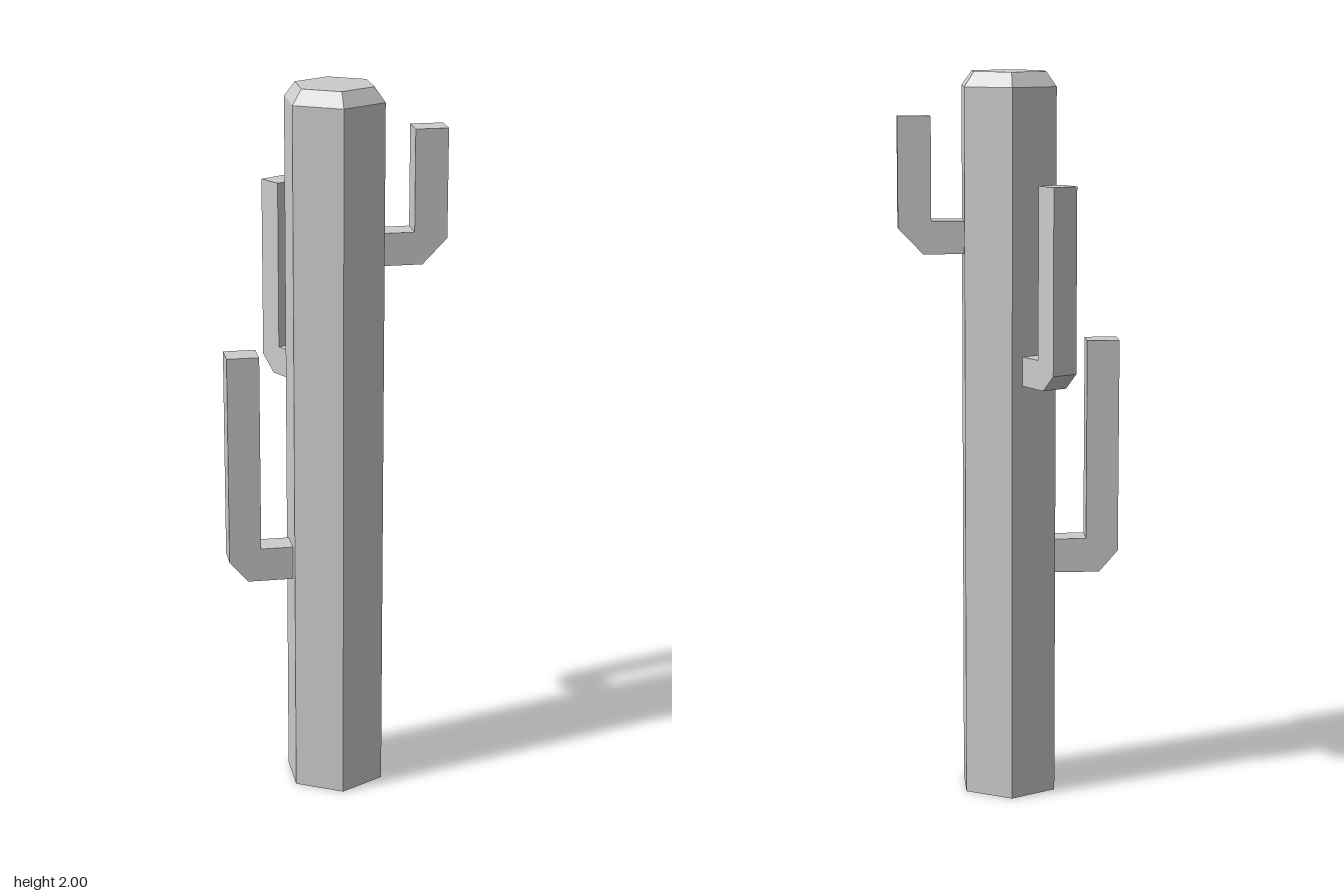
import * as THREE from 'three';

export function createModel() {
  const model = new THREE.Group();
  model.name = 'cactus';
  const material = new THREE.MeshStandardMaterial({ color: 0xcccccc, flatShading: true });

  const add = (name, geometry) => {
    const mesh = new THREE.Mesh(geometry, material);
    mesh.name = name;
    model.add(mesh);
    return mesh;
  };

  // Six-sided trunk with a bevelled top, corners pointing along x
  const hexagon = (top, bottom, height, open) =>
    new THREE.CylinderGeometry(top, bottom, height, 6, 1, open, Math.PI / 6);
  const trunkHeight = 1.96;
  const profile = [[0, 0], [0.143, 0], [0.143, trunkHeight], [0.112, 2], [0, 2]]
    .map(([r, y]) => new THREE.Vector2(r, y));
  add('trunk', new THREE.LatheGeometry(profile, 6, Math.PI / 6));

  // L-shaped arm: a stub leaving the trunk, a cut outer corner and an upright
  const width = 0.075;
  const addArm = (name, degrees, { bottom, shelf, top, inner, outer, cutX, cutY }) => {
    const root = 0.115; // just inside the trunk face
    const outline = [
      [root, bottom], [outer - cutX, bottom], [outer, bottom + cutY],
      [outer, top], [inner, top], [inner, shelf], [root, shelf],
    ].map(([r, y]) => new THREE.Vector2(r, y));
    const geometry = new THREE.ExtrudeGeometry(new THREE.Shape(outline), { depth: width, bevelEnabled: false });
    geometry.translate(0, 0, -width / 2);
    add(name, geometry).rotation.y = THREE.MathUtils.degToRad(degrees);
  };

  addArm('upperLeftArm', 30, { bottom: 1.51, shelf: 1.6, top: 1.88, inner: 0.212, outer: 0.302, cutX: 0.068, cutY: 0.07 });
  addArm('backRightArm', 150, { bottom: 1.16, shelf: 1.24, top: 1.705, inner: 0.197, outer: 0.268, cutX: 0.047, cutY: 0.045 });
  addArm('lowerRightArm', 210, { bottom: 0.62, shelf: 0.715, top: 1.27, inner: 0.213, outer: 0.302, cutX: 0.052, cutY: 0.06 });

  return model;
}
